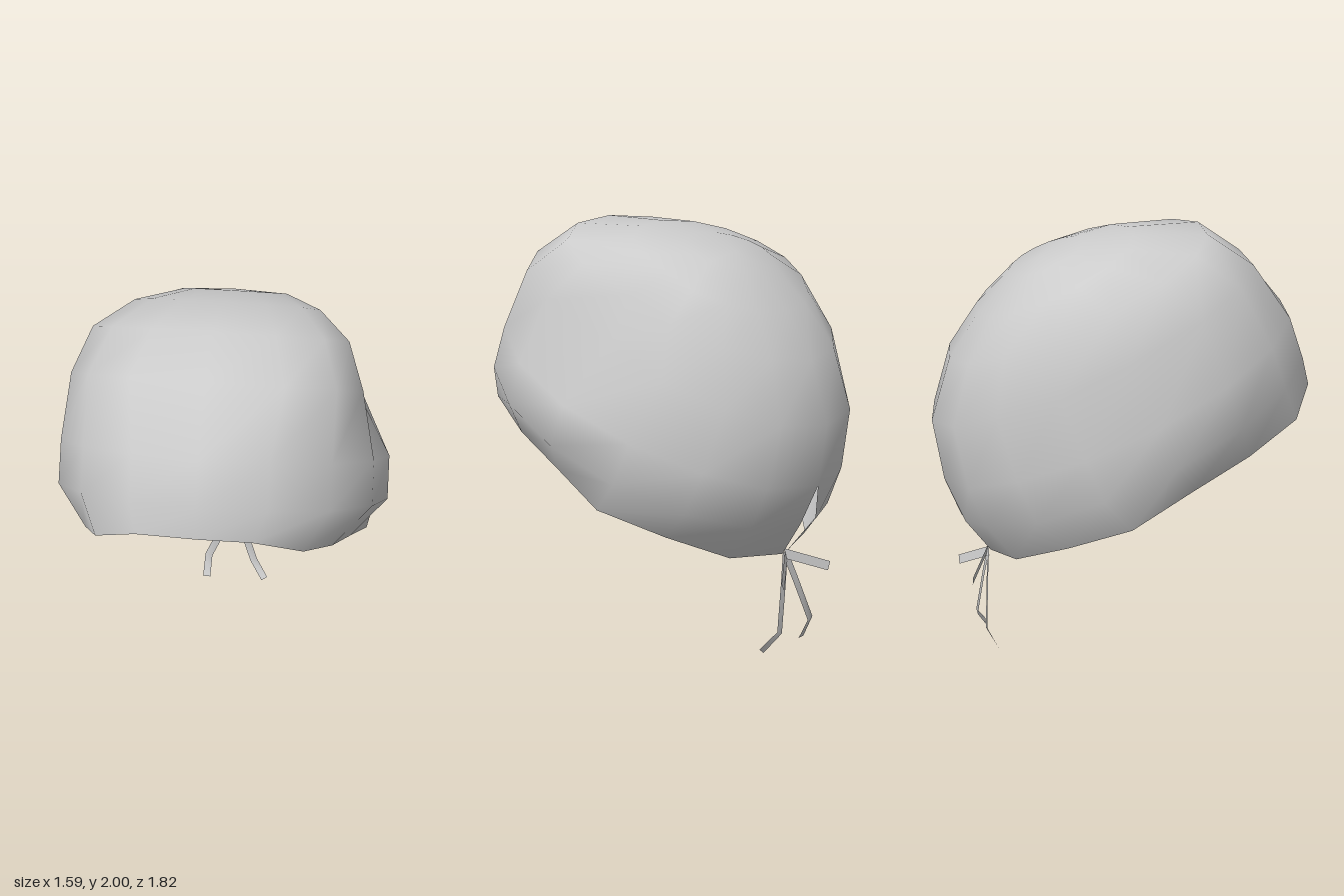
import * as THREE from 'three';
import { mergeVertices } from 'three/addons/utils/BufferGeometryUtils.js';

const material = new THREE.MeshStandardMaterial({ color: 0xcccccc, side: THREE.DoubleSide });

// Smooth surface through a grid of points: rows of equal length
function surface(rows) {
  const n = rows[0].length;
  const index = [];
  for (let i = 0; i < rows.length - 1; i++) {
    for (let j = 0; j < n - 1; j++) {
      const a = i * n + j, b = a + 1, c = a + n, d = c + 1;
      index.push(a, c, b, b, c, d);
    }
  }
  let geometry = new THREE.BufferGeometry();
  geometry.setAttribute('position', new THREE.Float32BufferAttribute(rows.flat(2), 3));
  geometry.setIndex(index);
  geometry = mergeVertices(geometry, 1e-4);
  geometry.computeVertexNormals();
  return geometry;
}

// Half of the open rim, from the back to the front: x, y, z
const RIM = [
  [0, 0.455, -0.65], [0.3, 0.49, -0.58], [0.52, 0.6, -0.38], [0.71, 0.725, -0.13], [0.645, 0.86, 0.17],
  [0.58, 0.99, 0.47], [0.47, 1.12, 0.74], [0.26, 1.235, 0.88], [0, 1.25, 0.91],
];
// Tilted rings above it: front z, y, back z, y, half width, squareness at the front, dent at the back
const RINGS = [
  [0.90, 1.40, -0.78, 0.63, 0.795, 2, 0],
  [0.83, 1.60, -0.86, 0.82, 0.79, 2, 0.06],
  [0.61, 1.86, -0.91, 1.11, 0.735, 2.5, 0.12],
  [0.40, 2.00, -0.82, 1.40, 0.66, 2.2, 0.12],
  [0.05, 1.99, -0.68, 1.61, 0.49, 2.1, 0.1],
  [-0.18, 1.945, -0.52, 1.79, 0.25, 2, 0],
  [-0.38, 1.865, -0.38, 1.865, 0, 2, 0],
];
// x of the two edges of the slit at the back, on the lowest rows
const SLIT = [[-0.03, -0.05], [0.01, -0.11], [-0.01, -0.01]];
const HALF = RIM.length - 1;

const bump = (u, centre, width) => Math.exp(-(((u - centre) / width) ** 2));

// Point on a ring: u runs from -1 at the back to 1 at the front
function ringPoint([fz, fy, bz, by, w, e, backDent], level, angle, side) {
  const power = angle > Math.PI / 2 ? 2 / e : 1;
  const u = -Math.sign(Math.cos(angle)) * Math.abs(Math.cos(angle)) ** power;
  // dents in the cloth: both sides at the back, and high on the left
  let scale = 1 - backDent * bump(u, -0.6, 0.25);
  if (side > 0 && level > 2 && level < 6) scale -= 0.17 * bump(u, 0.05, 0.35);
  const x = side * w * Math.sin(angle) ** power * scale;
  const t = (u + 1) / 2;
  return [x, THREE.MathUtils.lerp(by, fy, t), THREE.MathUtils.lerp(bz, fz, t)];
}

function capGeometry() {
  const rows = [];
  for (let i = 0; i <= RINGS.length; i++) {
    const row = [];
    for (let j = 0; j <= 2 * HALF; j++) {
      const side = j <= HALF ? 1 : -1;
      const k = side > 0 ? j : 2 * HALF - j;
      const [rx, ry, rz] = RIM[k];
      const point = i === 0 ? [side * rx - 0.015, ry, rz] : ringPoint(RINGS[i - 1], i, (k / HALF) * Math.PI, side);
      if (k === 0) point[0] = SLIT[i] ? SLIT[i][side > 0 ? 0 : 1] : 0;
      if (k === HALF) point[0] = 0;
      row.push(point);
    }
    rows.push(row);
  }
  return surface(rows);
}

// Flat ribbon along a path, its width lying in the xy plane
function ribbonGeometry(path, width) {
  const points = path.map((p) => new THREE.Vector3(...p));
  const rows = points.map((p, i) => {
    const d = points[Math.min(i + 1, points.length - 1)].clone().sub(points[Math.max(i - 1, 0)]);
    const side = new THREE.Vector3(-d.y, d.x, 0).setLength(width / 2);
    return [p.clone().add(side).toArray(), p.clone().sub(side).toArray()];
  });
  return surface(rows);
}

export function createModel() {
  const group = new THREE.Group();
  const add = (name, geometry) => {
    const mesh = new THREE.Mesh(geometry, material);
    mesh.name = name;
    group.add(mesh);
  };

  add('cap', capGeometry());

  // Tied ribbons hanging from the bottom of the slit
  const knot = [-0.04, 0.46, -0.66];
  add('rightTie', ribbonGeometry([knot, [-0.1, 0.32, -0.68], [-0.19, 0.11, -0.705], [-0.195, 0.002, -0.65]], 0.04));
  add('leftTie', ribbonGeometry([knot, [0, 0.32, -0.68], [0.06, 0.1, -0.705], [0.127, 0.015, -0.65]], 0.04));
  add('rightBowEnd', ribbonGeometry([[-0.03, 0.46, -0.66], [-0.24, 0.373, -0.775]], 0.045));
  add('leftBowEnd', ribbonGeometry([[-0.05, 0.45, -0.66], [0.137, 0.353, -0.775]], 0.045));

  return group;
}
